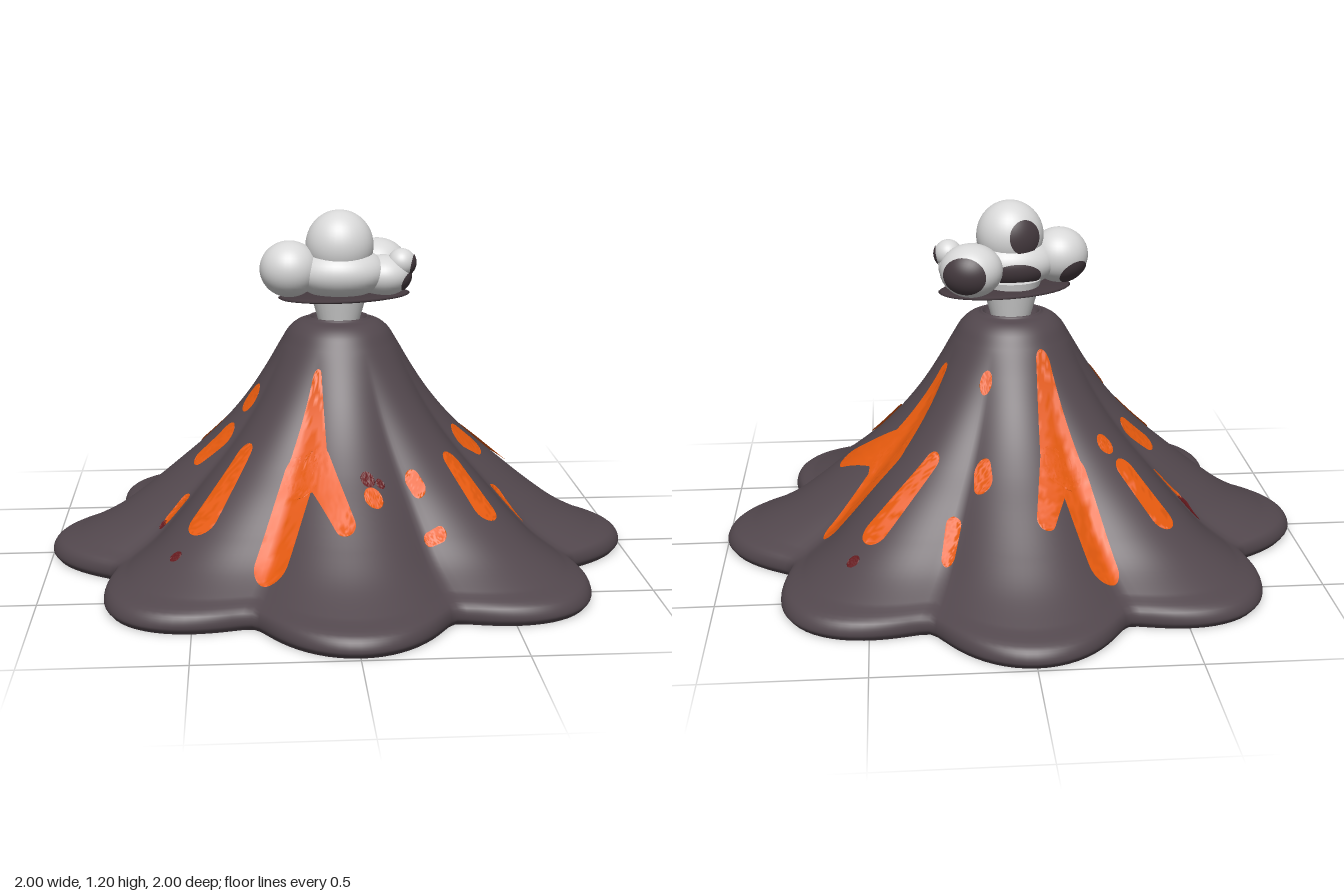
import * as THREE from 'three';
import { ParametricGeometry } from 'three/addons/geometries/ParametricGeometry.js';

const mat = (name, color, side = THREE.FrontSide) => {
  const m = new THREE.MeshStandardMaterial({ color, side });
  m.name = name;
  return m;
};

// Mountain outline along a lobe: radius, height
const profile = new THREE.CatmullRomCurve3([
  [0.985, 0.008], [1.0, 0.03], [0.985, 0.065], [0.9, 0.1], [0.79, 0.155], [0.69, 0.225],
  [0.56, 0.33], [0.46, 0.415], [0.38, 0.495], [0.31, 0.58], [0.25, 0.67], [0.2, 0.755],
  [0.17, 0.802], [0.14, 0.826], [0.11, 0.835], [0.1, 0.842], [0.085, 0.825], [0.0, 0.8],
].map(([r, y]) => new THREE.Vector3(r, y, 0)));
const SPANS = 17;

// Eight rounded lobes with narrow valleys, fading out uphill
function lobe(angle, y) {
  const c = Math.cos(4 * angle);
  const f = 0.79 + 0.21 * Math.sqrt((c * c + 0.02) / 1.02);
  return Math.pow(f, Math.max(0, 1 - y / 0.75));
}

function slope(t, angle) {
  const p = profile.getPoint(t);
  return { r: Math.max(0, p.x) * lobe(angle, p.y), y: p.y };
}

// Height of the mountainside above a ground point
function heightAt(x, z) {
  const r = Math.hypot(x, z), a = Math.atan2(x, z);
  let lo = 1 / SPANS, hi = 14 / SPANS;
  for (let i = 0; i < 22; i++) {
    const mid = (lo + hi) / 2;
    if (slope(mid, a).r > r) lo = mid; else hi = mid;
  }
  return slope(lo, a).y;
}

// Round-ended tapering patch that lies on the slope
function patchGeometry([x0, z0, w0, x1 = x0 + 0.001, z1 = z0, w1 = w0]) {
  const len = Math.hypot(x1 - x0, z1 - z0);
  const dx = (x1 - x0) / len, dz = (z1 - z0) / len;
  return new ParametricGeometry((u, v, target) => {
    const s = -w0 + (len + w0 + w1) * (1 - Math.cos(Math.PI * u)) / 2;
    let w = w0 + (w1 - w0) * s / len;
    if (s < 0) w = Math.sqrt(Math.max(0, w0 * w0 - s * s));
    if (s > len) w = Math.sqrt(Math.max(0, w1 * w1 - (s - len) ** 2));
    const k = w * (2 * v - 1);
    const x = x0 + dx * s + dz * k, z = z0 + dz * s - dx * k;
    const out = 1 + 0.004 / Math.hypot(x, z);
    target.set(x * out, heightAt(x, z) + 0.006, z * out);
  }, 28, 8);
}

// Each row: x, z, half width at the start, then the same at the end
const LAVA = [
  // front stream
  [-0.085, 0.23, 0.015, -0.13, 0.42, 0.07], [-0.15, 0.42, 0.055, -0.25, 0.63, 0.055],
  [-0.1, 0.42, 0.045, -0.02, 0.61, 0.033],
  // back stream
  [-0.09, -0.21, 0.025, -0.13, -0.4, 0.07], [-0.16, -0.42, 0.055, -0.24, -0.64, 0.05],
  [-0.11, -0.42, 0.05, -0.065, -0.58, 0.03],
  // left stream
  [0.24, -0.1, 0.02, 0.42, -0.18, 0.075], [0.42, -0.2, 0.06, 0.61, -0.28, 0.04],
  [0.43, -0.14, 0.05, 0.56, -0.04, 0.035],
  // drops
  [-0.45, -0.47, 0.04, -0.35, -0.36, 0.035], [-0.285, -0.31, 0.027],
  [-0.45, -0.12, 0.028, -0.39, -0.125, 0.028], [-0.55, -0.235, 0.015, -0.48, -0.225, 0.015],
  [-0.47, 0.11, 0.028, -0.39, 0.11, 0.033], [-0.3, 0.08, 0.03],
  [-0.58, 0.24, 0.018, -0.53, 0.22, 0.02], [-0.46, 0.45, 0.05, -0.33, 0.29, 0.03],
  [0.075, 0.525, 0.03], [0.21, 0.42, 0.025, 0.225, 0.44, 0.025],
  [0.25, 0.56, 0.018, 0.285, 0.55, 0.02], [0.355, 0.32, 0.035, 0.44, 0.44, 0.042],
  [0.41, 0.11, 0.035, 0.45, 0.1, 0.033], [0.52, 0.22, 0.023, 0.58, 0.27, 0.023],
  [0.285, -0.345, 0.025, 0.47, -0.475, 0.045], [0.125, -0.45, 0.03, 0.125, -0.415, 0.027],
  [0.1, -0.235, 0.02], [0.225, -0.52, 0.025, 0.245, -0.59, 0.022],
];
const EMBERS = [
  [-0.6, -0.28, 0.018, -0.57, -0.25, 0.025], [-0.6, 0.245, 0.014], [-0.55, 0.535, 0.018],
  [0.06, 0.475, 0.022], [0.1, 0.475, 0.014], [0.545, -0.545, 0.02],
];

// Smoke puffs: position, then radii
const PUFFS = [
  [0.0, 1.09, 0.045, 0.115, 0.12, 0.11], [-0.17, 1.015, 0.065, 0.1, 0.095, 0.1],
  [0.14, 1.005, -0.1, 0.105, 0.09, 0.1], [0.0, 1.0, 0.045, 0.16, 0.09, 0.125],
  [0.15, 0.985, 0.03, 0.095, 0.07, 0.09], [0.21, 1.03, 0.045, 0.048, 0.048, 0.048],
];

// Soot patches: puff index, facing direction, angular size
const SOOT = [
  [2, [0.35, -0.05, -1], 0.75], [5, [1, -0.2, 0.2], 0.8], [0, [-0.45, 0.1, -1], 0.5],
  [1, [-0.5, -0.6, -0.7], 0.55], [4, [1, -0.3, 0.5], 0.45], [3, [-0.1, -0.4, -1], 0.55],
];

export function createModel() {
  const model = new THREE.Group();
  model.name = 'volcano';
  const rock = mat('rock', 0x52474d);
  const lava = mat('lava', 0xe4590d, THREE.DoubleSide);
  const ember = mat('ember', 0x64191d, THREE.DoubleSide);
  const smoke = mat('smoke', 0xd8d8d8);
  const soot = mat('soot', 0x453a3f);

  const add = (parent, name, geometry, material) => {
    const mesh = new THREE.Mesh(geometry, material);
    mesh.name = name;
    parent.add(mesh);
    return mesh;
  };

  // Mountainside with the crater
  add(model, 'mountain', new ParametricGeometry((u, v, target) => {
    const a = u * Math.PI * 2, p = slope(v, a);
    target.set(p.r * Math.sin(a), p.y, p.r * Math.cos(a));
  }, 192, 85), rock);

  // Slightly hollow underside
  add(model, 'underside', new ParametricGeometry((u, v, target) => {
    const a = u * Math.PI * 2, r = v * slope(0, a).r;
    target.set(r * Math.sin(a), 0.008 + 0.012 * (1 - v * v), r * Math.cos(a));
  }, 192, 8), rock);

  // Lava streams, drops and cooled embers
  const flows = new THREE.Group();
  flows.name = 'lavaFlows';
  model.add(flows);
  LAVA.forEach((row) => add(flows, 'lavaPatch', patchGeometry(row), lava));
  EMBERS.forEach((row) => add(flows, 'emberPatch', patchGeometry(row), ember));

  // Smoke cloud on its column
  const cloud = new THREE.Group();
  cloud.name = 'smokeCloud';
  model.add(cloud);
  const column = add(cloud, 'smokeColumn', new THREE.CylinderGeometry(0.105, 0.065, 0.14, 32), smoke);
  column.position.set(0, 0.88, 0.01);
  PUFFS.forEach(([x, y, z, a, b, c]) => {
    const puff = add(cloud, 'smokePuff', new THREE.SphereGeometry(1, 36, 24), smoke);
    puff.position.set(x, y, z);
    puff.scale.set(a, b, c);
  });

  // Dark flat base of the cloud
  const base = add(cloud, 'cloudBase', new THREE.SphereGeometry(1, 40, 12), soot);
  base.position.set(0.02, 0.915, 0.01);
  base.scale.set(0.235, 0.016, 0.14);
  base.rotation.y = 0.3;

  // Soot caps on the puffs
  SOOT.forEach(([i, dir, size]) => {
    const [x, y, z, a, b, c] = PUFFS[i];
    const geometry = new THREE.SphereGeometry(1, 28, 8, 0, Math.PI * 2, 0, size);
    geometry.applyQuaternion(new THREE.Quaternion().setFromUnitVectors(
      new THREE.Vector3(0, 1, 0), new THREE.Vector3(...dir).normalize()));
    const cap = add(cloud, 'sootPatch', geometry, soot);
    cap.position.set(x, y, z);
    cap.scale.set(a + 0.003, b + 0.003, c + 0.003);
  });

  return model;
}
